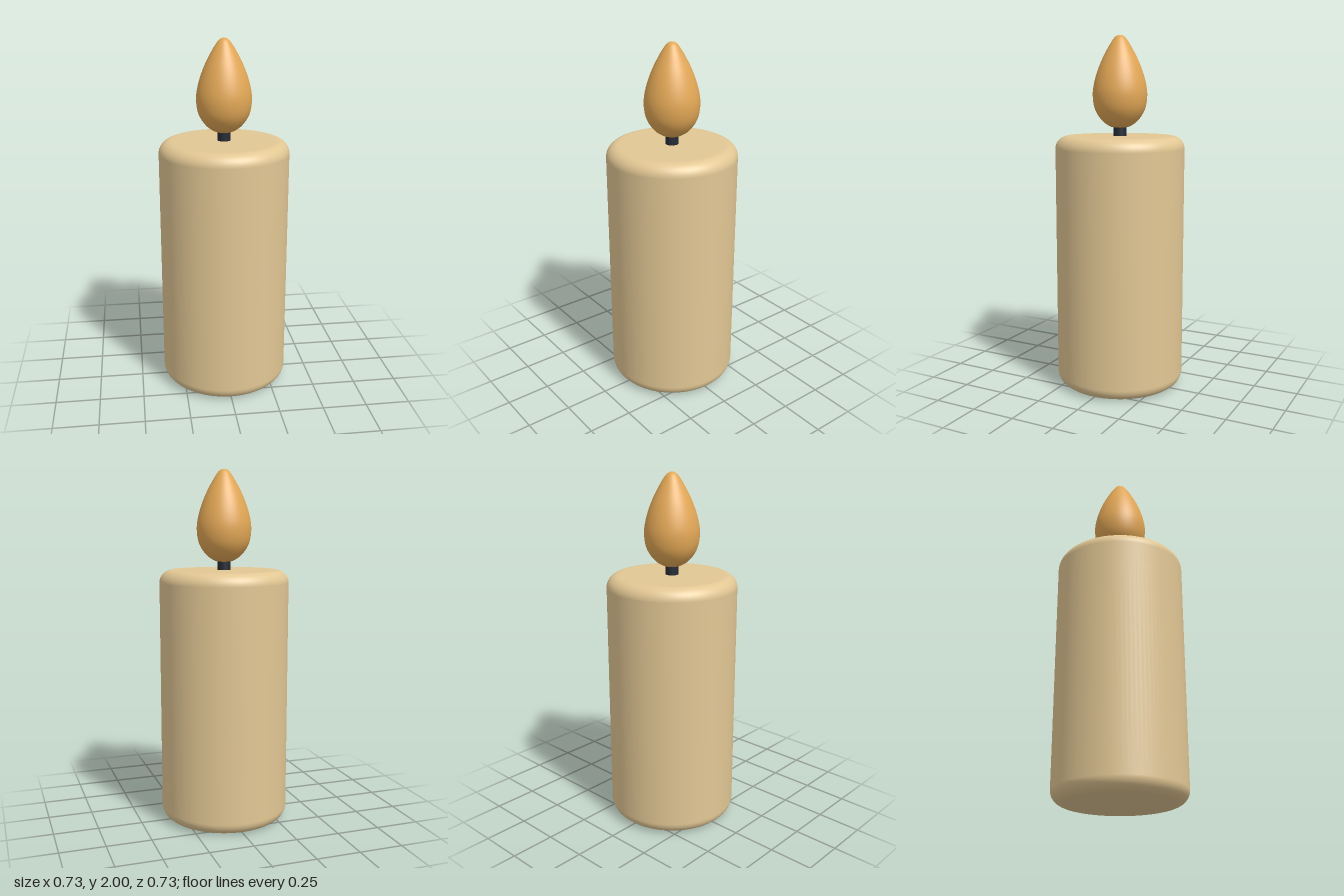
import * as THREE from 'three';

const SIDES = 96;

function material(name, color) {
  const m = new THREE.MeshStandardMaterial({ color });
  m.name = name;
  return m;
}

// Points on a quarter circle, used to round the wax edges
function arc(cx, cy, r, from, steps = 10) {
  return Array.from({ length: steps + 1 }, (_, i) => {
    const a = from + (i / steps) * Math.PI / 2;
    return new THREE.Vector2(cx + r * Math.cos(a), cy + r * Math.sin(a));
  });
}

export function createModel() {
  const wax = material('cream wax', 0xe2c794);
  const fire = material('amber flame', 0xe3a856);
  const char = material('charred wick', 0x252a33);

  const group = new THREE.Group();
  group.name = 'candle';
  const add = (name, geometry, mat) => {
    const mesh = new THREE.Mesh(geometry, mat);
    mesh.name = name;
    group.add(mesh);
    return mesh;
  };

  // Wax pillar with rounded top and bottom edges
  const R = 0.365, H = 1.443, B = 0.07;
  const body = [
    new THREE.Vector2(0, 0),
    new THREE.Vector2(R - B - 0.01, 0),
    ...arc(R - B, B, B, -Math.PI / 2),
    ...arc(R - B, H - B, B, 0),
    new THREE.Vector2(R - B - 0.01, H),
    new THREE.Vector2(0, H),
  ];
  add('waxBody', new THREE.LatheGeometry(body, SIDES), wax);

  // Wick between the wax and the flame
  const wick = add('wick', new THREE.CylinderGeometry(0.036, 0.036, 0.08, 32), char);
  wick.position.y = 1.45;

  // Teardrop flame
  const outline = new THREE.SplineCurve([
    [0, 1.485], [0.05, 1.494], [0.1, 1.528], [0.14, 1.59], [0.153, 1.67],
    [0.142, 1.75], [0.112, 1.84], [0.07, 1.925], [0.035, 1.98], [0.016, 1.996], [0, 2],
  ].map(([x, y]) => new THREE.Vector2(x, y)));
  const profile = outline.getPoints(50);
  profile.forEach((p) => { p.x = Math.max(p.x, 0); });
  add('flame', new THREE.LatheGeometry(profile, SIDES), fire);

  return group;
}
